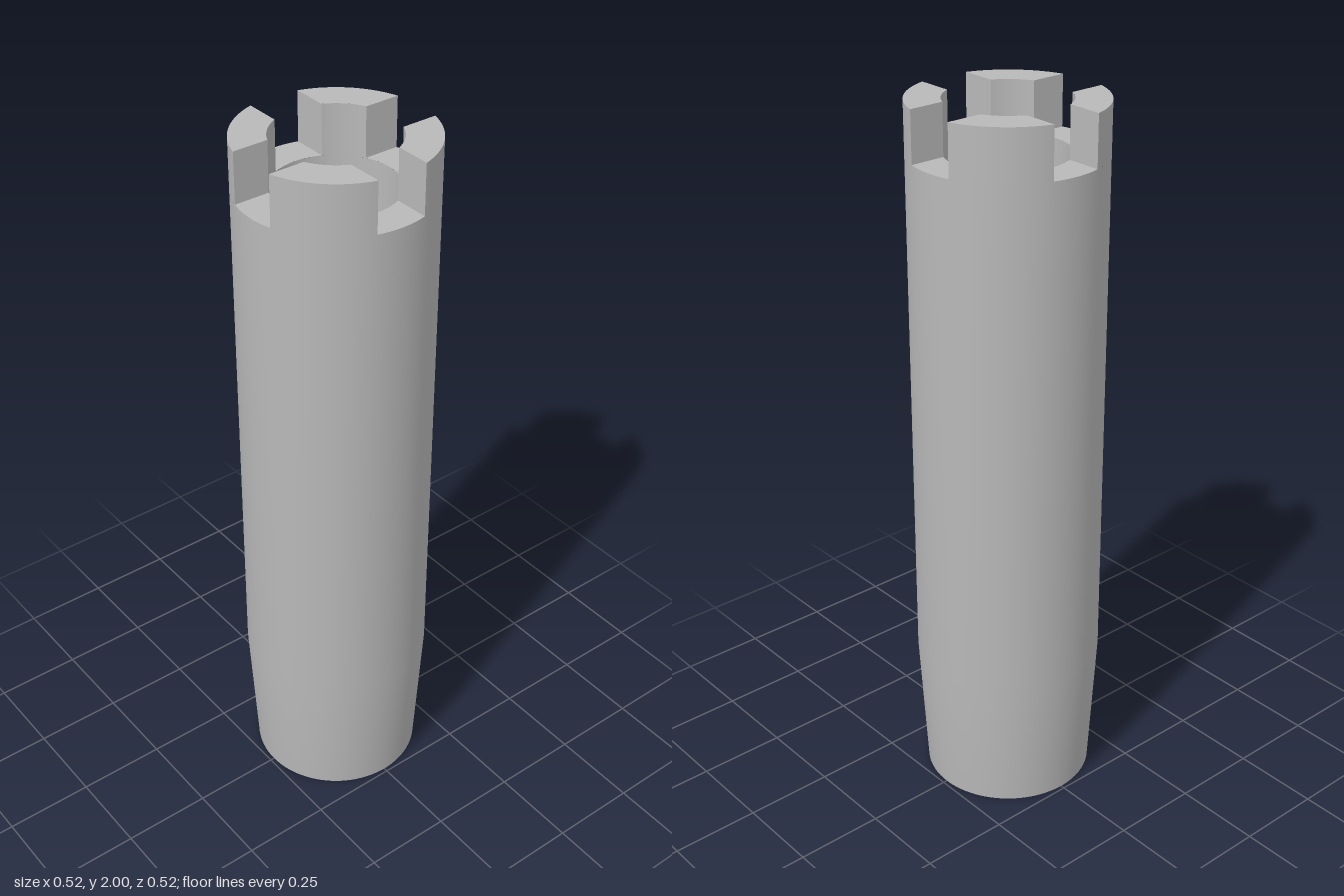
import * as THREE from 'three';
import { mergeGeometries } from 'three/addons/utils/BufferGeometryUtils.js';

const R = 0.261, FOOT_R = 0.238, BORE_R = 0.167; // radii
const TAPER_Y = 0.4, SLOT_Y = 1.86, TOP_Y = 2;   // heights
const HALF = 0.072;                              // half slot width
const outerA = Math.asin(HALF / R), innerA = Math.asin(HALF / BORE_R);

// Surface of revolution; a rising profile faces outward, a falling one inward
const lathe = (points, segments = 96, start = 0, length = Math.PI * 2) =>
  new THREE.LatheGeometry(points.map(([x, y]) => new THREE.Vector2(x, y)), segments, start, length);

// Flat, upward-facing piece of the ring with straight ends
function ringPiece(o0, o1, i0, i1, y) {
  const shape = new THREE.Shape();
  shape.absarc(0, 0, R, o0, o1, false);
  shape.absarc(0, 0, BORE_R, i1, i0, true);
  return new THREE.ShapeGeometry(shape, 24).rotateX(-Math.PI / 2).translate(0, y, 0);
}

// One upright tooth: curved walls, top and two slot walls
function toothGeometry() {
  const q = Math.PI / 2, h = TOP_Y - SLOT_Y, midY = (TOP_Y + SLOT_Y) / 2;
  const far = Math.sqrt(R * R - HALF * HALF), near = Math.sqrt(BORE_R * BORE_R - HALF * HALF);
  const mid = (far + near) / 2;
  const wall = () => new THREE.PlaneGeometry(far - near, h);
  return mergeGeometries([
    lathe([[R, SLOT_Y], [R, TOP_Y]], 24, outerA, q - 2 * outerA),
    lathe([[BORE_R, TOP_Y], [BORE_R, SLOT_Y]], 24, innerA, q - 2 * innerA),
    ringPiece(outerA, q - outerA, innerA, q - innerA, TOP_Y),
    wall().rotateY(-q).translate(HALF, midY, mid),
    wall().rotateY(2 * q).translate(mid, midY, HALF),
  ]);
}

export function createModel() {
  const group = new THREE.Group();
  group.name = 'slottedTube';
  const grey = new THREE.MeshStandardMaterial({ color: 0xb8b8b8 });
  grey.name = 'grey';

  const add = (name, geometry, turn = 0) => {
    const mesh = new THREE.Mesh(geometry, grey);
    mesh.name = name;
    mesh.rotation.y = turn;
    group.add(mesh);
  };

  // Tube body with tapered foot and straight bore
  add('outerWall', lathe([[FOOT_R, 0], [R, TAPER_Y], [R, SLOT_Y]]));
  add('bore', lathe([[BORE_R, SLOT_Y], [BORE_R, 0]]));
  add('footRim', lathe([[BORE_R, 0], [FOOT_R, 0]]));

  // Four teeth with the slot floors between them
  const tooth = toothGeometry();
  const floor = ringPiece(-outerA, outerA, -innerA, innerA, SLOT_Y);
  for (let i = 0; i < 4; i++) {
    add('tooth' + (i + 1), tooth, i * Math.PI / 2);
    add('slotFloor' + (i + 1), floor, i * Math.PI / 2);
  }
  return group;
}
